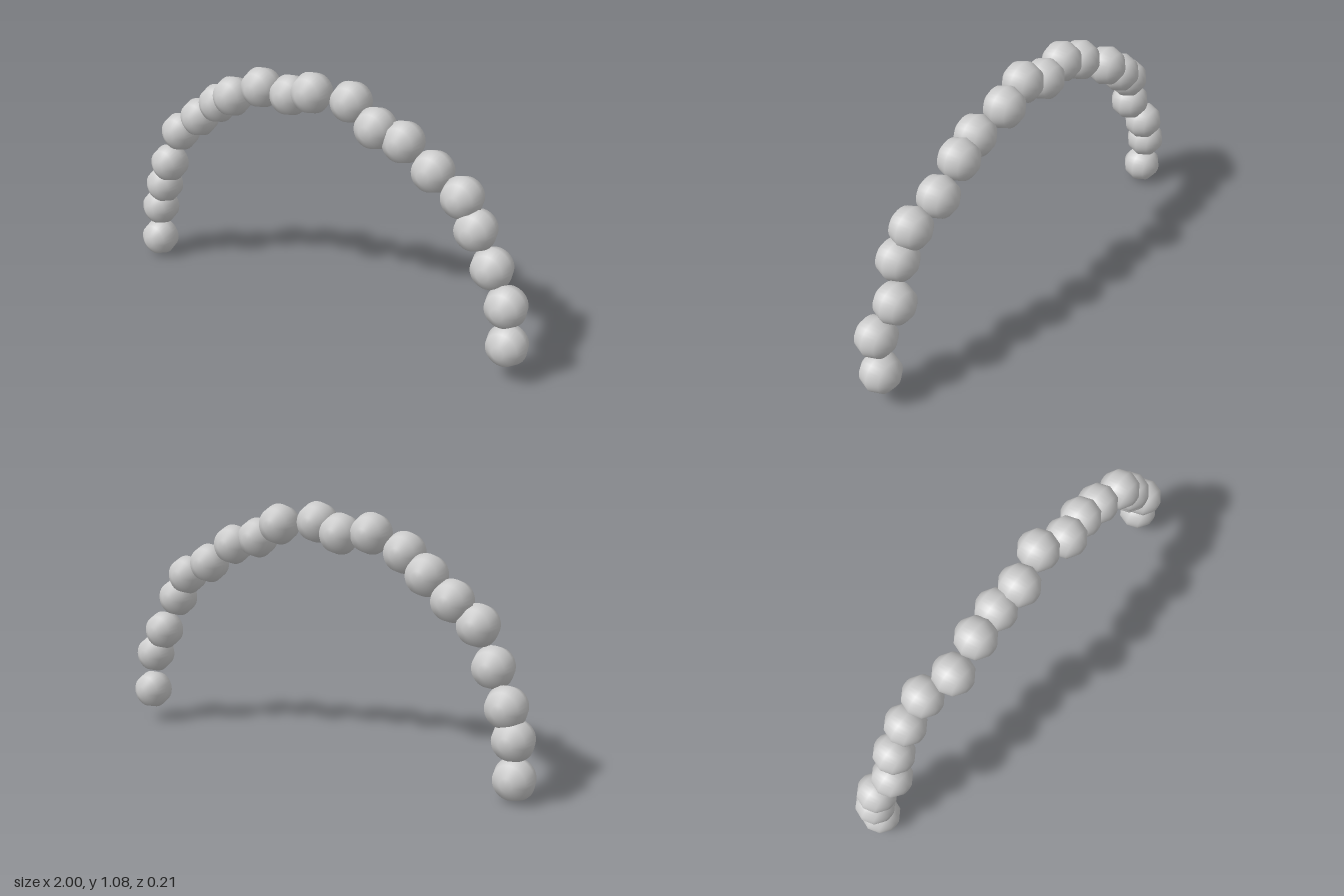
import * as THREE from 'three';

const R = 0.085;

// Bead centres along the arch, from the right foot to the left foot
const CENTRES = [
  [-0.915, 0.086, -0.01], [-0.91, 0.243, -0.021], [-0.877, 0.364, -0.021], [-0.802, 0.5, 0.014],
  [-0.743, 0.658, -0.005], [-0.642, 0.743, -0.024], [-0.53, 0.83, -0.024], [-0.404, 0.9, 0.025],
  [-0.257, 0.965, 0.015], [-0.12, 0.955, 0], [0, 0.992, 0.015], [0.163, 0.976, -0.024],
  [0.3, 0.906, 0.008], [0.417, 0.87, -0.01], [0.548, 0.778, -0.017], [0.687, 0.711, -0.003],
  [0.757, 0.601, 0.008], [0.82, 0.446, -0.022], [0.904, 0.32, 0.007], [0.914, 0.148, -0.007],
];

// Ball turned about z from a ten-sided outline: round from the front, small flats at both ends
function beadGeometry() {
  const profile = [18, 54, 90, 126, 162].map((deg) => {
    const a = THREE.MathUtils.degToRad(deg);
    return new THREE.Vector2(R * Math.sin(a), -R * Math.cos(a));
  });
  const end = profile[4].y;
  profile.unshift(new THREE.Vector2(0, -end));
  profile.push(new THREE.Vector2(0, end));
  const geo = new THREE.LatheGeometry(profile, 32);
  geo.rotateX(Math.PI / 2);

  // Round, smooth shading
  const pos = geo.attributes.position;
  const n = new THREE.Vector3();
  for (let i = 0; i < pos.count; i++) {
    n.fromBufferAttribute(pos, i).normalize();
    geo.attributes.normal.setXYZ(i, n.x, n.y, n.z);
  }
  return geo;
}

export function createModel() {
  const model = new THREE.Group();
  model.name = 'beadArch';
  const geometry = beadGeometry();
  const material = new THREE.MeshStandardMaterial({ color: 0xcccccc });
  CENTRES.forEach(([x, y, z], i) => {
    const bead = new THREE.Mesh(geometry, material);
    bead.name = `bead${i + 1}`;
    bead.position.set(x, y, z);
    model.add(bead);
  });
  return model;
}
